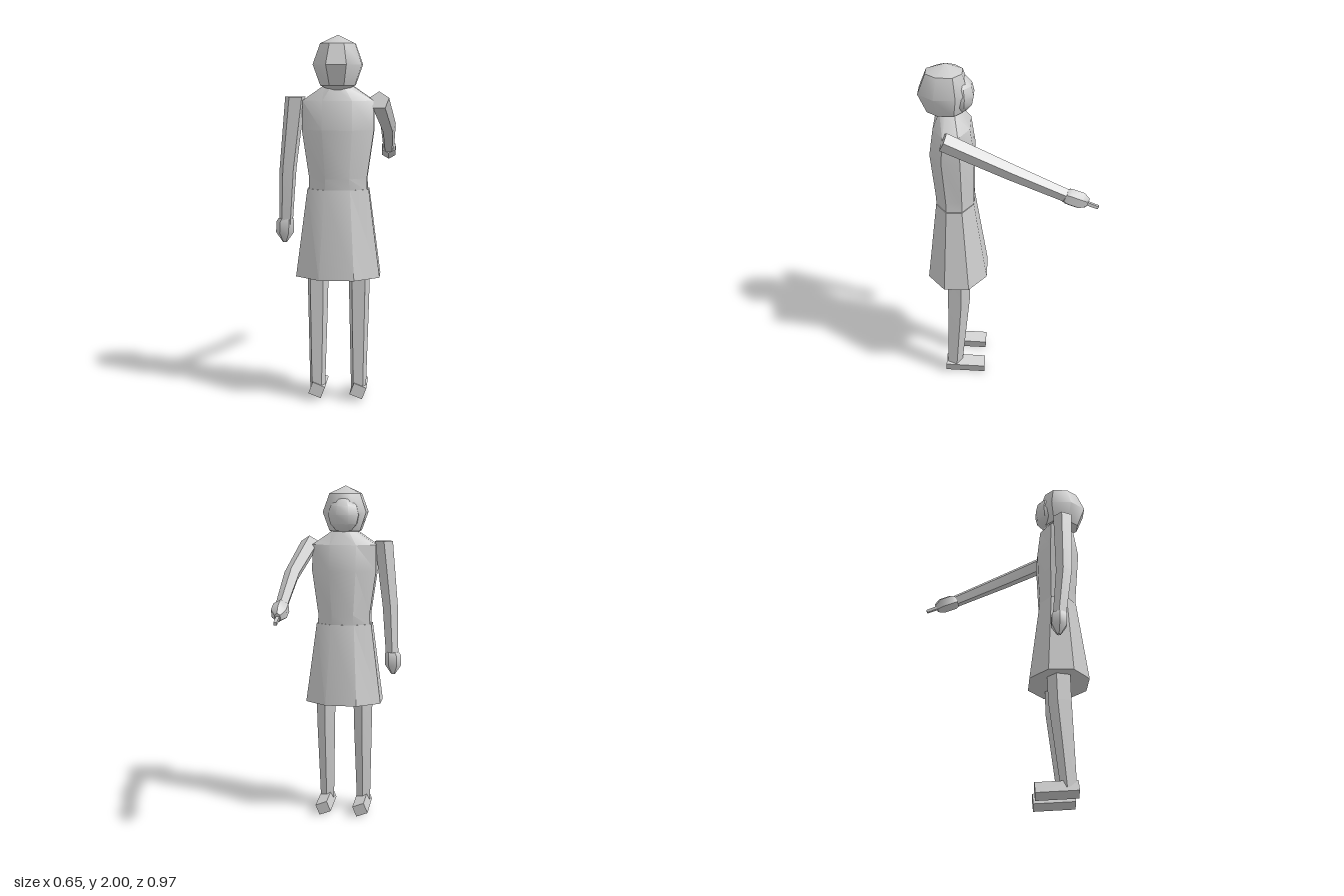
import * as THREE from 'three';
import { toCreasedNormals, mergeVertices } from 'three/addons/utils/BufferGeometryUtils.js';

const material = new THREE.MeshStandardMaterial({ color: 0xcccccc });
const X = [1, 0, 0], Z = [0, 0, 1], BACK = [0, 0, -1];

function addMesh(group, name, geometry, crease = 0.6) {
  const mesh = new THREE.Mesh(toCreasedNormals(geometry, crease), material);
  mesh.name = name;
  group.add(mesh);
  return mesh;
}

// Closed loft through rings [x, y, z, radiusU, radiusV] lying in the u-v plane
function loft(rings, sides, uAxis, vAxis, phase = 0) {
  const u = new THREE.Vector3(...uAxis), v = new THREE.Vector3(...vAxis);
  const centre = (r) => new THREE.Vector3(r[0], r[1], r[2]);
  const path = centre(rings[rings.length - 1]).sub(centre(rings[0]));
  if (path.dot(v.clone().cross(u)) < 0) u.negate();
  const positions = [], index = [];
  const push = (p) => positions.push(p.x, p.y, p.z);
  for (const r of rings) {
    for (let j = 0; j < sides; j++) {
      const a = phase + (j / sides) * Math.PI * 2;
      push(centre(r).addScaledVector(u, Math.sin(a) * r[3]).addScaledVector(v, Math.cos(a) * r[4]));
    }
  }
  const last = (rings.length - 1) * sides;
  const startCap = last + sides, endCap = startCap + 1;
  push(centre(rings[0]));
  push(centre(rings[rings.length - 1]));
  for (let j = 0; j < sides; j++) {
    const k = (j + 1) % sides;
    for (let b = 0; b < last; b += sides) {
      index.push(b + j, b + k, b + sides + j, b + k, b + sides + k, b + sides + j);
    }
    index.push(startCap, k, j, endCap, last + j, last + k);
  }
  const g = new THREE.BufferGeometry();
  g.setAttribute('position', new THREE.Float32BufferAttribute(positions, 3));
  g.setIndex(index);
  return g;
}

// Octagonal body section: flat sides at the given half width and half depth
const section = (y, halfW, halfD, z = 0.305) =>
  [0.018, y, z, halfW / Math.cos(Math.PI / 8), halfD / Math.cos(Math.PI / 8)];
const body = (rings) => loft(rings, 8, X, Z, Math.PI / 8);

// Faceted ball with flat faces towards the axes
function ball(cols, rows, radii, position) {
  const g = new THREE.SphereGeometry(1, cols, rows);
  g.deleteAttribute('uv');
  g.deleteAttribute('normal');
  const k = 1 / Math.cos(Math.PI / cols);
  g.rotateY(Math.PI / cols).scale(radii[0] * k, radii[1], radii[2] * k).translate(...position);
  return mergeVertices(g, 1e-4);
}

export function createModel() {
  const model = new THREE.Group();
  model.name = 'figure';

  // Torso and skirt
  addMesh(model, 'torso', body([
    section(1.17, 0.158, 0.104), section(1.24, 0.156, 0.107), section(1.5, 0.193, 0.122, 0.312),
    section(1.655, 0.19, 0.1, 0.31), section(1.735, 0.075, 0.06, 0.315),
  ]));
  addMesh(model, 'skirt', body([section(0.7, 0.228, 0.169, 0.302), section(1.18, 0.166, 0.106)]));

  // Head: hair shell, flattened on the face side, with the face set into it
  const hair = ball(8, 4, [0.13, 0.155, 0.15], [0.018, 1.845, 0.335]);
  const p = hair.attributes.position;
  for (let i = 0; i < p.count; i++) {
    if (p.getZ(i) < 0.3) p.setZ(i, 0.3 + (p.getZ(i) - 0.3) * 0.75);
  }
  addMesh(model, 'hair', hair, 0.75);
  addMesh(model, 'face', ball(8, 6, [0.09, 0.105, 0.08], [0.018, 1.83, 0.268]), 0.75);

  // Legs and feet
  for (const [side, x] of [['right', -0.098], ['left', 0.131]]) {
    addMesh(model, side + 'Leg', loft([
      [x, 0.75, 0.3, 0.062, 0.07], [x, 0.55, 0.304, 0.058, 0.07], [x, 0.06, 0.338, 0.044, 0.047],
    ], 5, X, BACK));
    const foot = addMesh(model, side + 'Foot', new THREE.BoxGeometry(0.074, 0.067, 0.235));
    foot.position.set(x, 0.052, 0.27);
    foot.rotation.set(-0.06, 0, -0.37);
  }

  // Right arm hanging at the side
  addMesh(model, 'rightArm', loft([
    [-0.212, 1.675, 0.335, 0.057, 0.057], [-0.255, 1.285, 0.33, 0.048, 0.048],
    [-0.273, 0.98, 0.295, 0.039, 0.039],
  ], 5, X, Z, 0.5));
  addMesh(model, 'rightHand', loft([
    [-0.273, 1.01, 0.295, 0.04, 0.04], [-0.278, 0.99, 0.292, 0.049, 0.049],
    [-0.28, 0.93, 0.29, 0.049, 0.049], [-0.281, 0.876, 0.288, 0.012, 0.012],
  ], 6, X, Z, 0.5));

  // Left arm stretched out and pointing
  const up = [0, 0.91, -0.41];
  addMesh(model, 'leftArm', loft([
    [0.237, 1.655, 0.345, 0.056, 0.053], [0.277, 1.5, -0.01, 0.046, 0.046],
    [0.275, 1.35, -0.32, 0.035, 0.038],
  ], 5, X, up));
  addMesh(model, 'leftHand', loft([
    [0.275, 1.357, -0.3, 0.038, 0.04], [0.275, 1.35, -0.32, 0.048, 0.05],
    [0.275, 1.325, -0.385, 0.048, 0.05], [0.275, 1.308, -0.42, 0.018, 0.03],
  ], 6, X, up));
  addMesh(model, 'pointingFinger', loft([
    [0.273, 1.315, -0.4, 0.014, 0.014], [0.275, 1.283, -0.48, 0.012, 0.012],
  ], 4, X, up, Math.PI / 4));

  return model;
}
